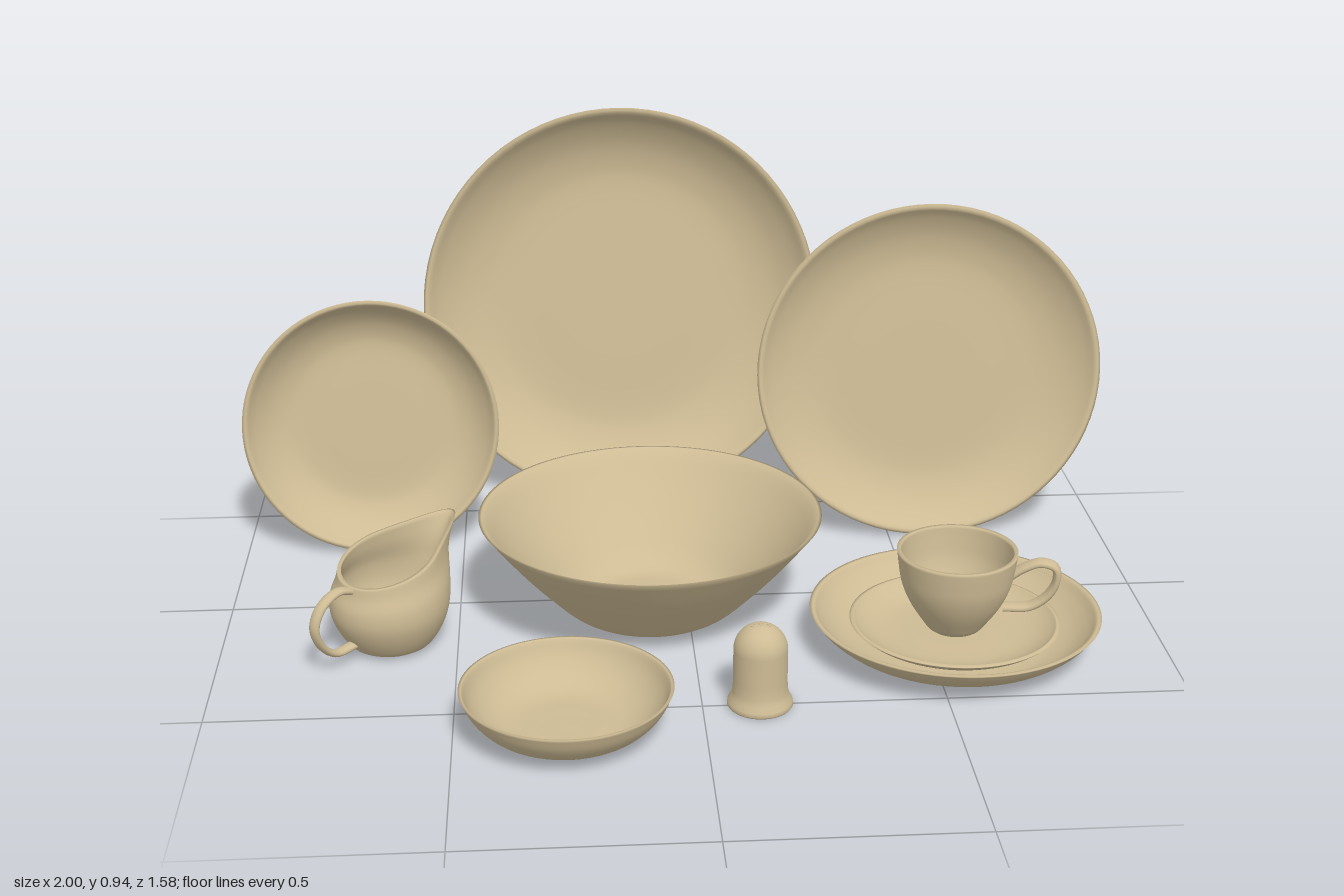
import * as THREE from 'three';
import { mergeVertices } from 'three/addons/utils/BufferGeometryUtils.js';

const clay = new THREE.MeshStandardMaterial({ color: 0xcdbb94 });
clay.name = 'beige stoneware';

function part(name, geometry) {
  const mesh = new THREE.Mesh(geometry, clay);
  mesh.name = name;
  return mesh;
}

// Smooth curve through a few [radius, height] points
function smooth(points, n) {
  const curve = new THREE.CatmullRomCurve3(points.map(([x, y]) => new THREE.Vector3(x, y, 0)));
  return curve.getPoints(n).map((p) => new THREE.Vector2(Math.max(0, p.x), p.y));
}

// Thin turned vessel: outer wall up, rounded lip, inner wall back down
function vessel(points, thickness, segments = 80) {
  const outer = smooth(points, 32);
  const inner = outer.map((p, i) => {
    const a = outer[Math.max(0, i - 1)], b = outer[Math.min(outer.length - 1, i + 1)];
    const d = b.clone().sub(a).normalize();
    return new THREE.Vector2(i === 0 ? 0 : Math.max(0, p.x - d.y * thickness), p.y + d.x * thickness);
  });
  const end = outer.length - 1;
  inner[end].y = outer[end].y;
  return new THREE.LatheGeometry([...outer, ...inner.reverse()], segments);
}

// Coupe plate profile from rim radius and depth
const plateCurve = (r, h, base = 0.6) => [
  [0, 0], [base * 0.5 * r, 0], [base * r, 0], [(base + 0.1) * r, h * 0.07],
  [(base + 0.22) * r, h * 0.28], [(base + 0.33) * r, h * 0.64], [r, h],
];

// Flat strap handle along a path in the xy plane
function strap(points, radius, widen) {
  const curve = new THREE.CatmullRomCurve3(points.map(([x, y]) => new THREE.Vector3(x, y, 0)));
  return new THREE.TubeGeometry(curve, 48, radius, 12).scale(1, 1, widen);
}

// Plate standing on its edge, leaning back
function standingPlate(name, x, y, z, r, h, tilt, stretch = 1) {
  const plate = part(name, vessel(plateCurve(r, h), 0.008).translate(0, -h, 0));
  plate.position.set(x, y, z);
  plate.rotation.x = Math.PI / 2 - tilt;
  plate.scale.x = stretch;
  return plate;
}

function createCup() {
  const cup = new THREE.Group();
  cup.name = 'cup';
  cup.add(part('cupBody', vessel([
    [0, 0], [0.03, 0], [0.052, 0.002], [0.075, 0.03], [0.1, 0.07], [0.116, 0.11], [0.123, 0.15], [0.127, 0.182],
  ], 0.008)));
  cup.add(part('cupHandle', strap([
    [0.113, 0.128], [0.14, 0.148], [0.175, 0.162], [0.205, 0.152], [0.208, 0.12],
    [0.19, 0.085], [0.155, 0.06], [0.1, 0.055],
  ], 0.009, 2)));
  return cup;
}

function createCreamer() {
  const jug = new THREE.Group();
  jug.name = 'creamer';
  const top = 0.2;
  let body = vessel([
    [0, 0.005], [0.04, 0.005], [0.08, 0.006], [0.105, 0.035], [0.125, 0.085], [0.125, 0.13], [0.112, 0.17], [0.106, top],
  ], 0.008);
  // Slope the rim and pull the front of it out into a spout
  const pos = body.attributes.position;
  for (let i = 0; i < pos.count; i++) {
    const x = pos.getX(i), y = pos.getY(i), z = pos.getZ(i);
    const c = x / (Math.hypot(x, z) || 1), f = y / top;
    const pull = c > 0 ? c ** 5 * f ** 3 : 0;
    pos.setXYZ(i, x + 0.085 * pull, y + 0.03 * c * f * f + 0.017 * pull, z * (1 - 0.15 * pull));
  }
  body.deleteAttribute('uv');
  body.deleteAttribute('normal');
  body = mergeVertices(body, 1e-5);
  body.computeVertexNormals();
  jug.add(part('creamerBody', body));
  jug.add(part('creamerHandle', strap([
    [-0.103, 0.16], [-0.14, 0.17], [-0.185, 0.15], [-0.205, 0.11], [-0.19, 0.065], [-0.155, 0.035], [-0.1, 0.035],
  ], 0.008, 1.7)));
  return jug;
}

function createShaker() {
  const shaker = new THREE.Group();
  shaker.name = 'shaker';
  // Filling hole underneath, flared foot, straight wall, domed top
  const profile = [[0, 0.1], [0.03, 0.1], [0.03, 0.003], [0.033, 0], [0.064, 0], [0.067, 0.004],
    [0.066, 0.012], [0.06, 0.022], [0.056, 0.036], [0.055, 0.06], [0.055, 0.125]];
  for (let i = 1; i <= 12; i++) {
    const a = (i / 12) * Math.PI / 2;
    profile.push([i === 12 ? 0 : 0.055 * Math.cos(a), 0.125 + 0.055 * Math.sin(a)]);
  }
  shaker.add(part('shakerBody', new THREE.LatheGeometry(profile.map(([x, y]) => new THREE.Vector2(x, y)), 48)));
  // Pouring hole rims
  for (const x of [-0.016, 0, 0.016]) {
    const rim = part('shakerHole', new THREE.TorusGeometry(0.004, 0.001, 6, 16).rotateX(Math.PI / 2));
    rim.position.set(x, 0.125 + Math.sqrt(0.055 ** 2 - x * x), 0);
    rim.rotation.z = -Math.asin(x / 0.055);
    shaker.add(rim);
  }
  return shaker;
}

export function createModel() {
  const set = new THREE.Group();
  set.name = 'tableware';
  const place = (object, x, y, z, turn = 0) => {
    object.position.set(x, y, z);
    object.rotation.y = turn;
    set.add(object);
  };

  // Three plates standing at the back
  set.add(standingPlate('largePlate', -0.115, 0.473, -0.633, 0.475, 0.108, 0.175));
  set.add(standingPlate('mediumPlate', 0.593, 0.39, -0.352, 0.392, 0.073, 0.168, 1.03));
  set.add(standingPlate('smallPlate', -0.705, 0.294, -0.328, 0.294, 0.088, 0.183));

  // Bowls
  place(part('servingBowl', vessel([
    [0, 0.004], [0.08, 0.004], [0.145, 0.005], [0.185, 0.023], [0.24, 0.075], [0.305, 0.147], [0.372, 0.232],
  ], 0.008, 96)), -0.081, 0, 0.049);
  place(part('smallBowl', vessel([
    [0, 0.006], [0.06, 0.006], [0.11, 0.007], [0.14, 0.015], [0.172, 0.035], [0.197, 0.064], [0.213, 0.098],
  ], 0.006)), -0.274, 0, 0.578);

  // Stacked place setting
  place(part('dinnerPlate', vessel(plateCurve(0.308, 0.073), 0.008)), 0.555, 0.01, 0.26);
  place(part('saucer', vessel(plateCurve(0.223, 0.036), 0.007)), 0.555, 0.022, 0.26);
  place(createCup(), 0.555, 0.038, 0.26, -0.2);

  place(createCreamer(), -0.642, 0, 0.178, Math.PI / 4);
  place(createShaker(), 0.117, 0, 0.498);
  return set;
}
